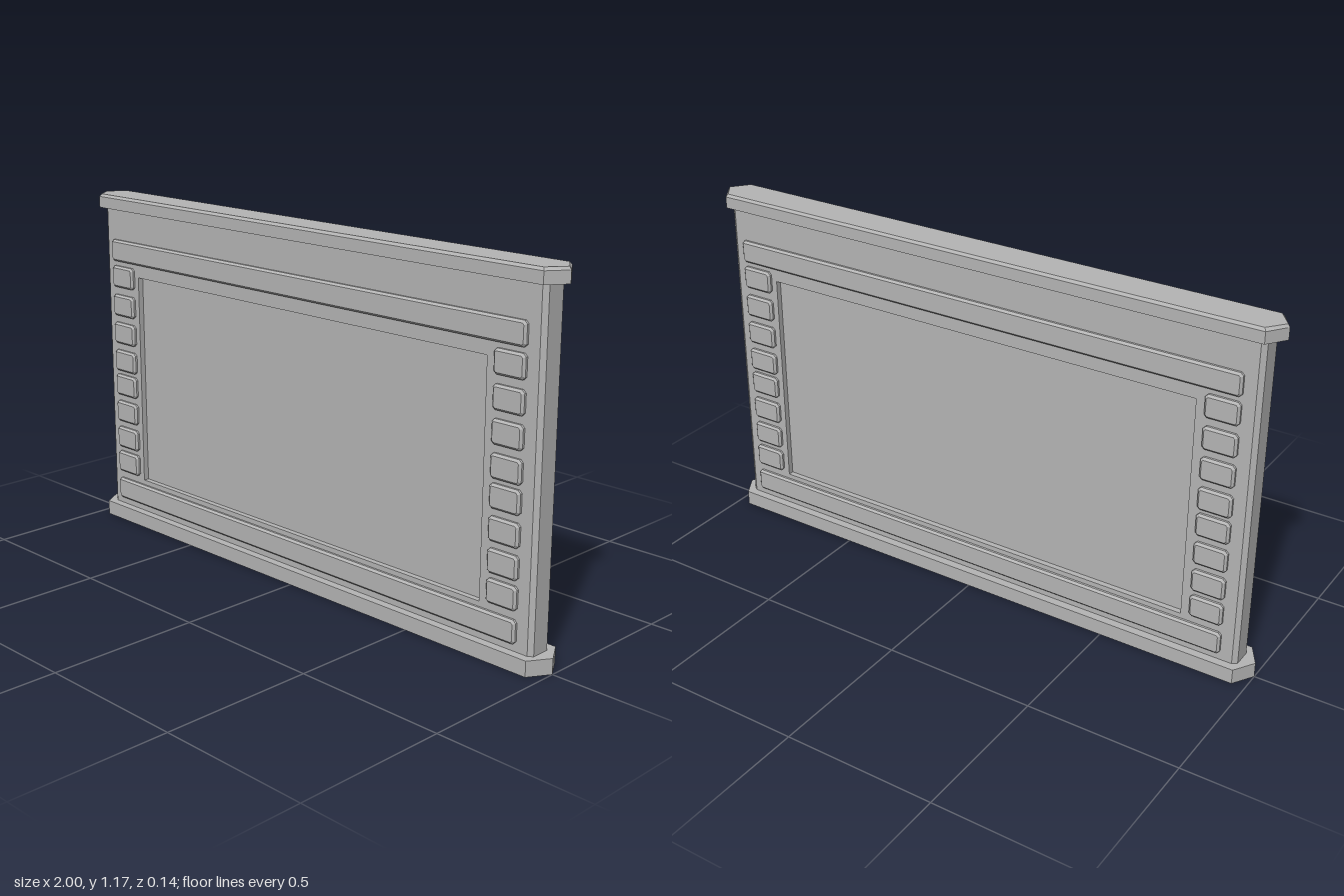
import * as THREE from 'three';

const stone = new THREE.MeshStandardMaterial({ color: 0xb4b4b4 });
stone.name = 'grey stone';

function add(parent, name, geometry) {
  const mesh = new THREE.Mesh(geometry, stone);
  mesh.name = name;
  parent.add(mesh);
  return mesh;
}

// Closed outline from corner points
const outline = (points) => new THREE.Shape(points.map(([x, y]) => new THREE.Vector2(x, y)));
const rect = (x0, y0, x1, y1) => outline([[x0, y0], [x1, y0], [x1, y1], [x0, y1]]);

// Horizontal rail with pointed ends; its top edge can be chamfered
function rail(y0, y1, y2, halfDepth, topScale) {
  const geo = new THREE.ExtrudeGeometry(outline([
    [-1, 0], [-0.957, -halfDepth], [0.957, -halfDepth],
    [1, 0], [0.957, halfDepth], [-0.957, halfDepth],
  ]), { depth: 2, steps: 2, bevelEnabled: false });
  geo.rotateX(-Math.PI / 2);
  const pos = geo.attributes.position;
  const levels = [y0, y1, y2];
  for (let i = 0; i < pos.count; i++) {
    const level = Math.round(pos.getY(i));
    pos.setY(i, levels[level]);
    if (level === 2) {
      pos.setX(i, pos.getX(i) * (1 - (1 - topScale) * 0.06));
      pos.setZ(i, pos.getZ(i) * topScale);
    }
  }
  geo.computeVertexNormals();
  return geo;
}

// Raised block with chamfered edges and clipped corners
function block(x0, x1, yMid) {
  const b = 0.007, c = 0.005, h = 0.0375 - b;
  const l = x0 + b, r = x1 - b, lo = yMid - h, hi = yMid + h;
  const geo = new THREE.ExtrudeGeometry(outline([
    [l + c, lo], [r - c, lo], [r, lo + c], [r, hi - c],
    [r - c, hi], [l + c, hi], [l, hi - c], [l, lo + c],
  ]), { depth: 0.012, bevelThickness: b, bevelSize: b, bevelSegments: 1 });
  return geo.translate(0, 0, 0.03 + b);
}

// One face of the wall: frame, sunken panel and raised trim
function wallFace(name) {
  const face = new THREE.Group();
  face.name = name;

  const frame = rect(-0.94, 0.03, 0.94, 1.14);
  frame.holes.push(rect(-0.78, 0.165, 0.76, 0.9));
  add(face, 'frame', new THREE.ExtrudeGeometry(frame, { depth: 0.042, bevelEnabled: false }));

  const panel = new THREE.PlaneGeometry(1.54, 0.735);
  add(face, 'sunkenPanel', panel.translate(-0.01, 0.5325, 0.023));

  add(face, 'upperBar', block(-0.91, 0.9, 0.983));
  add(face, 'lowerBar', block(-0.91, 0.9, 0.111));
  for (const y of [0.891, 0.789, 0.689, 0.589, 0.5, 0.402, 0.305, 0.213]) {
    add(face, 'leftBlock', block(0.79, 0.9, y));
    add(face, 'rightBlock', block(-0.91, -0.8, y));
  }
  return face;
}

export function createModel() {
  const model = new THREE.Group();
  model.name = 'wallSection';

  // Matching faces, back one turned around
  model.add(wallFace('frontFace'));
  const back = wallFace('backFace');
  back.rotation.y = Math.PI;
  model.add(back);

  // Chamfered end strips
  for (const side of [0, 1]) {
    const strip = new THREE.ExtrudeGeometry(outline([
      [0.94, -0.042], [0.955, -0.031], [0.955, 0.031], [0.94, 0.042],
    ]), { depth: 1.11, bevelEnabled: false });
    strip.rotateX(-Math.PI / 2).translate(0, 0.03, 0);
    add(model, side ? 'rightEnd' : 'leftEnd', strip).rotation.y = side * Math.PI;
  }

  // Rails along the top and bottom
  add(model, 'topRail', rail(1.128, 1.166, 1.175, 0.063, 0.9));
  add(model, 'bottomRail', rail(0, 0.025, 0.05, 0.07, 1));
  return model;
}
